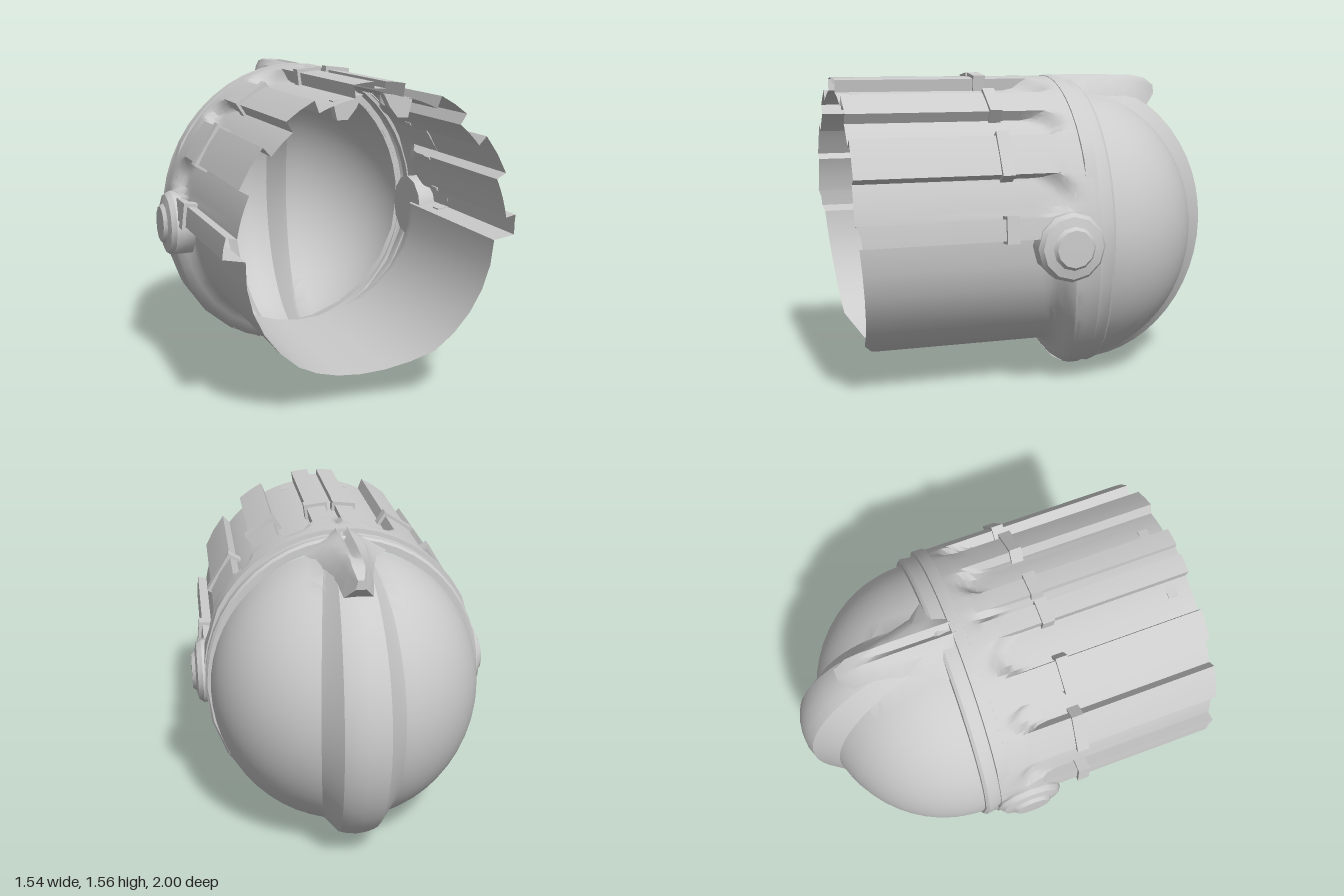
import * as THREE from 'three';
import { toCreasedNormals } from 'three/addons/utils/BufferGeometryUtils.js';

const material = new THREE.MeshStandardMaterial({ color: 0xcccccc, side: THREE.DoubleSide });
const RAD = Math.PI / 180;
const CY = 0.76; // height of the barrel axis
const lerp = THREE.MathUtils.lerp;
const smooth = (t) => THREE.MathUtils.smoothstep(t, 0, 1);

// Surface through rows x cols points given by fn(row, col)
function grid(rows, cols, fn, crease = 0.6) {
  const pos = [], index = [];
  for (let i = 0; i < rows; i++) for (let j = 0; j < cols; j++) pos.push(...fn(i, j));
  for (let i = 0; i < rows - 1; i++) {
    for (let j = 0; j < cols - 1; j++) {
      const a = i * cols + j, b = a + cols;
      index.push(a, a + 1, b, b, a + 1, b + 1);
    }
  }
  const g = new THREE.BufferGeometry();
  g.setAttribute('position', new THREE.Float32BufferAttribute(pos, 3));
  g.setIndex(index);
  return toCreasedNormals(g, crease);
}

// Ribs as angle ranges from the top, in degrees
const RIBS = [[2.2, 9.8], [25, 37], [48.5, 64], [79.5, 87]];
const ribPoint = (deg) => [0.71 * Math.sin(deg * RAD), CY + 0.78 * Math.cos(deg * RAD)];
// The rim and lower barrel lean back towards the bottom
const lean = (deg) => (deg > 90 ? -0.12 * Math.cos(deg * RAD) ** 2 : 0);

// Half cross-section of the barrel: kind is rib, groove or belly; u runs -1..1 over a groove
function barrelSection() {
  const pts = [];
  let from = -2.2;
  for (const [a, b] of RIBS) {
    const us = from < 0 ? [0, 1] : [-1, -0.8, -0.45, 0, 0.45, 0.8, 1];
    for (const u of us) pts.push({ deg: lerp(from, a, (u + 1) / 2), kind: 'groove', u, depth: from < 0 ? 0.5 : 1 });
    for (let k = 0; k <= 2; k++) pts.push({ deg: lerp(a, b, k / 2), kind: 'rib' });
    from = b;
  }
  for (let d = 88; d < 181; d += 11.5) pts.push({ deg: d, kind: 'belly' });
  return pts;
}

function barrelPoint(p, z, last, side) {
  const s = Math.sin(p.deg * RAD), c = Math.cos(p.deg * RAD);
  let ax = 0.71, ay = 0.78, zz = z;
  if (p.kind === 'groove') {
    const f = smooth((0.03 + 0.1 * p.u * p.u - z) / 0.11);
    ax -= 0.05 * p.depth * (1 - f);
    ay -= 0.06 * p.depth * (1 - f);
  } else if (p.kind === 'belly') {
    const f = smooth((0.06 - z) / 0.12);
    ax = lerp(0.605, 0.7, f);
    ay = lerp(0.615, 0.755, f);
    zz += lean(p.deg);
  }
  const y = CY + ay * c;
  if (last) { // front edge sweeps back at the bottom
    zz = y > 0.88 ? 1 : y > 0.25 ? lerp(0.92, 0.985, (y - 0.25) / 0.63) : lerp(0.83, 0.92, (y - 0.145) / 0.105);
  }
  return [side * ax * s, y, zz];
}

// Rim section: distance along z, scale, and extra height of the upper ridge
const RIM = [[0, 0.985, 0], [-0.1, 1, 0], [-0.102, 1, 0.018], [-0.16, 1, 0.018],
  [-0.162, 0.99, 0], [-0.18, 0.985, 0], [-0.225, 0.995, 0], [-0.24, 0.98, 0], [-0.242, 0.93, 0]];

export function createModel() {
  const model = new THREE.Group();
  const add = (name, geometry) => {
    const mesh = new THREE.Mesh(geometry, material);
    mesh.name = name;
    model.add(mesh);
    return mesh;
  };

  // Barrel with hollow ribs above and a smooth belly below
  const half = barrelSection();
  const zs = [-0.14, -0.1, -0.06, -0.03, 0, 0.03, 0.06, 0.1, 0.15, 1];
  for (const side of [1, -1]) {
    add(side > 0 ? 'leftBarrel' : 'rightBarrel', grid(zs.length, half.length,
      (i, j) => barrelPoint(half[j], zs[i], i === zs.length - 1, side)));
  }

  // Rim between barrel and dome
  const angles = [];
  for (let d = -180; d <= 180; d += Math.abs(d + 0.1) < 90 ? 7.5 : 15) angles.push(d);
  add('rim', grid(RIM.length, angles.length, (i, j) => {
    const [dz, scale, ridge] = RIM[i], d = Math.abs(angles[j]);
    const s = Math.sin(angles[j] * RAD), c = Math.cos(angles[j] * RAD);
    const k = scale + (d < 61 ? ridge : 0);
    const z = dz + lean(d) * lerp(1, 0.6, -dz / 0.242) - (i === 0 ? 0.04 : 0);
    return [0.71 * k * s, CY + (c > 0 ? 0.77 : 0.76) * k * c, z];
  }));

  // Dome with a raised spindle-shaped crest down its back
  const LIFT = [1, 0.97, 0.88, 0.2, 0], AT = [0, 0.3, 0.55, 0.88, 1], SIDE = 12, ROWS = 28;
  add('domeAndCrest', grid(ROWS + 1, 2 * (4 + SIDE) + 1, (i, j) => {
    const a = Math.PI * i / ROWS, k = j - 4 - SIDE, n = Math.abs(k);
    const w = 0.1 + 0.1 * Math.sin(a), edge = Math.asin(w / 0.68);
    const beta = n <= 4 ? Math.asin(w * AT[n] / 0.68) : lerp(edge, Math.PI / 2, (n - 4) / SIDE);
    const r = Math.cos(beta) * (1 + (n <= 4 ? LIFT[n] : 0) * (0.035 + 0.135 * Math.sin(a)));
    return [Math.sign(k) * 0.68 * Math.sin(beta), 0.75 + 0.72 * r * Math.cos(a), -0.24 - 0.65 * r * Math.sin(a)];
  }, 0.5));

  // Beaked fin on top: z, top half width, base half width, top y, base y, slot depth
  const FIN = [[-0.08, 0.015, 0.04, 1.535, 1.5, 0], [-0.15, 0.04, 0.08, 1.545, 1.49, 0.03],
    [-0.24, 0.08, 0.21, 1.545, 1.45, 0.035], [-0.32, 0.085, 0.15, 1.545, 1.44, 0.035],
    [-0.45, 0.075, 0.125, 1.545, 1.41, 0.035], [-0.53, 0.065, 0.11, 1.54, 1.39, 0.02],
    [-0.6, 0.055, 0.095, 1.54, 1.38, 0], [-0.67, 0.045, 0.07, 1.525, 1.38, 0],
    [-0.73, 0.015, 0.025, 1.485, 1.44, 0], [-0.73, 0, 0, 1.47, 1.47, 0]];
  add('topFin', grid(FIN.length, 8, (i, j) => {
    const [z, t, b, ty, by, slot] = FIN[i];
    const m = Math.min(0.03, t);
    return [[-b, by, z], [-t, lerp(ty, by, 0.2), z], [-m, ty, z], [0, ty - slot, z],
      [m, ty, z], [t, lerp(ty, by, 0.2), z], [b, by, z], [-b, by, z]][j];
  }, 0.7));

  // Clamps wrapped over each rib
  for (const side of [1, -1]) {
    for (const [a, b] of RIBS) {
      const [x0, y0] = ribPoint(a), [x1, y1] = ribPoint(b);
      const w = Math.hypot(x1 - x0, y1 - y0) / 2;
      const o = w + 0.014, q = w - 0.002;
      const shape = new THREE.Shape([[-o, -0.06], [-q, -0.06], [-q, 0], [q, 0], [q, -0.06],
        [o, -0.06], [o, 0.018], [-o, 0.018]].map((p) => new THREE.Vector2(...p)));
      const clamp = add('ribClamp', new THREE.ExtrudeGeometry(shape, { depth: 0.06, bevelEnabled: false }));
      clamp.position.set(side * (x0 + x1) / 2, (y0 + y1) / 2, 0.25);
      clamp.rotation.z = side * Math.atan2(y1 - y0, x1 - x0);
    }
  }

  // Round pivot bosses on both sides
  const bossProfile = [[0, 0.62], [0.165, 0.62], [0.168, 0.715], [0.15, 0.74], [0.105, 0.75], [0.09, 0.768], [0, 0.77]]
    .map((p) => new THREE.Vector2(...p));
  for (const side of [1, -1]) {
    const g = toCreasedNormals(new THREE.LatheGeometry(bossProfile, 12), 0.6);
    const boss = add(side > 0 ? 'leftBoss' : 'rightBoss', g);
    boss.rotation.z = -side * Math.PI / 2;
    boss.position.set(0, 0.755, -0.01);
  }

  // Small brackets under the front of the roof
  for (const side of [1, -1]) {
    const shape = new THREE.Shape([[0.05, 1.48], [0.19, 1.455], [0.17, 1.37], [0.12, 1.37], [0.08, 1.42]]
      .map(([x, y]) => new THREE.Vector2(side * x, y)));
    const bracket = add('roofBracket', new THREE.ExtrudeGeometry(shape, { depth: 0.05, bevelEnabled: false }));
    bracket.position.z = 0.88;
  }
  return model;
}
